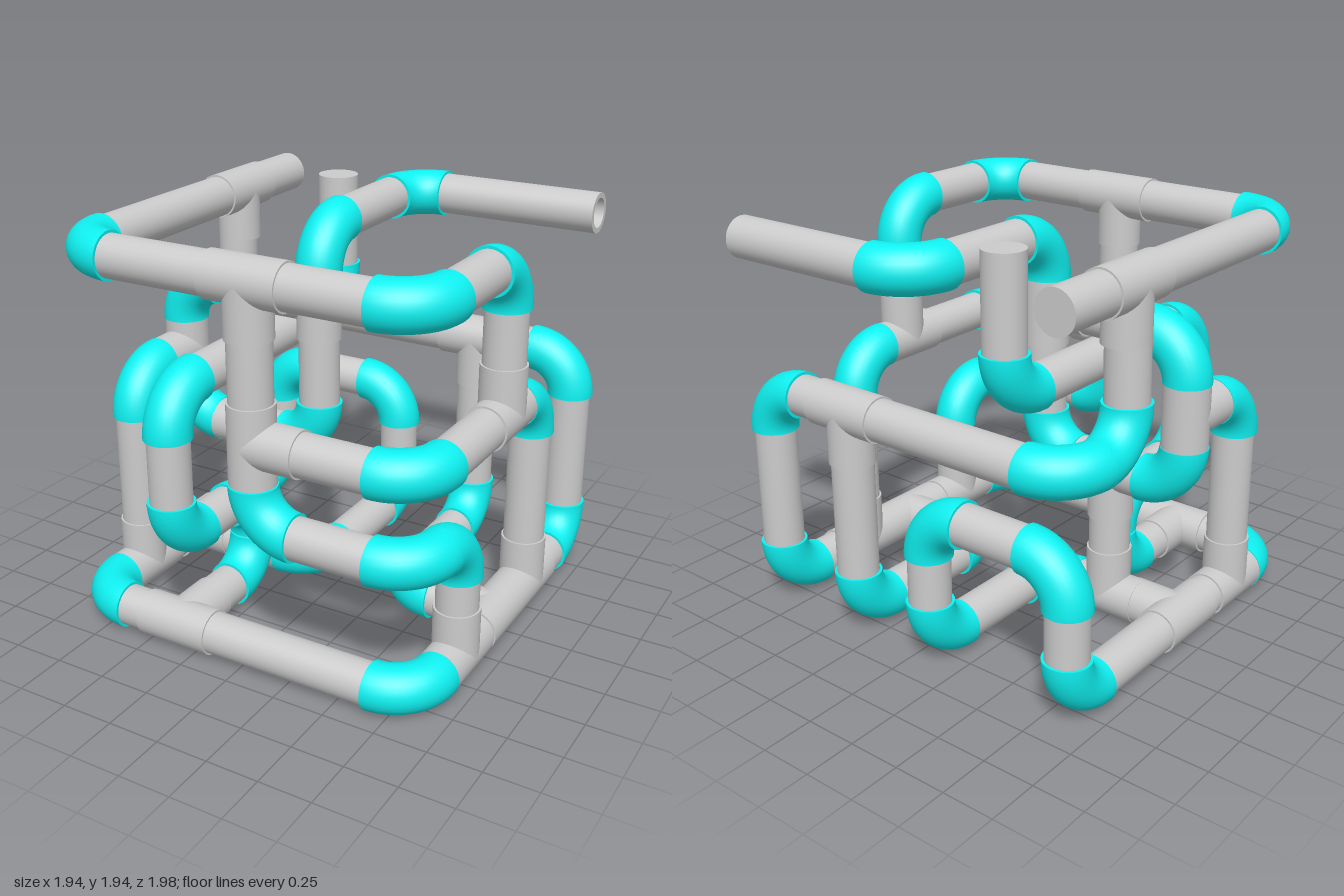
import * as THREE from 'three';
import { mergeGeometries, toCreasedNormals } from 'three/addons/utils/BufferGeometryUtils.js';

const PIPE_R = 0.098, TEE_R = 0.107, ELBOW_R = 0.111, BEND = 0.21;
const TEE_HALF = 0.185, TEE_BRANCH = 0.245, SIDES = 32;

const grey = new THREE.MeshStandardMaterial({ color: 0xcccccc });
const teal = new THREE.MeshStandardMaterial({ color: 0x10f0f0 });
const V = (p) => new THREE.Vector3(...p);
const UP = new THREE.Vector3(0, 1, 0);

// Closed cylinder between two points
function rod(a, b, radius) {
  const dir = b.clone().sub(a);
  const g = new THREE.CylinderGeometry(radius, radius, dir.length(), SIDES);
  g.applyQuaternion(new THREE.Quaternion().setFromUnitVectors(UP, dir.normalize()));
  const mid = a.clone().add(b).multiplyScalar(0.5);
  return g.translate(mid.x, mid.y, mid.z);
}

// Hollow pipe whose bore shows at its free end
function hollowRod(a, b) {
  const dir = b.clone().sub(a);
  const ring = new THREE.Shape().absarc(0, 0, PIPE_R, 0, Math.PI * 2, false);
  ring.holes.push(new THREE.Path().absarc(0, 0, 0.072, 0, Math.PI * 2, true));
  const g = toCreasedNormals(new THREE.ExtrudeGeometry(ring, {
    depth: dir.length(), bevelEnabled: false, curveSegments: 20,
  }), 0.8);
  g.applyQuaternion(new THREE.Quaternion().setFromUnitVectors(new THREE.Vector3(0, 0, 1), dir.normalize()));
  return g.translate(a.x, a.y, a.z);
}

// Quarter bend; toPrev and toNext point away from the corner
function elbow(corner, toPrev, toNext) {
  const g = mergeGeometries([
    new THREE.TorusGeometry(BEND, ELBOW_R, 28, 18, Math.PI / 2),
    new THREE.CircleGeometry(ELBOW_R, 28).rotateX(Math.PI / 2).translate(BEND, 0, 0),
    new THREE.CircleGeometry(ELBOW_R, 28).rotateY(-Math.PI / 2).translate(0, BEND, 0),
  ]);
  const x = toPrev.clone().negate(), y = toNext.clone().negate();
  const m = new THREE.Matrix4().makeBasis(x, y, x.clone().cross(y));
  m.setPosition(corner.clone().addScaledVector(toPrev, BEND).addScaledVector(toNext, BEND));
  return g.applyMatrix4(m);
}

// Pipe routes: every inner point is an elbow
const T = 1.84, B = -0.84, F = 0.84, R = 0.86, L = -0.86, G = 0.12, M = 1.13;
const routes = {
  topRail: [[-0.84, T, -0.92], [-0.84, T, F], [R, T, F], [R, T, 0.045], [R, M, 0.045]],
  outerLoop: [[-0.84, T, -0.43], [-0.85, M, -0.43], [-0.85, M, B], [R, M, B], [R, G, B], [R, G, F],
    [L, G, F], [L, G, B], [L, 0.77, B], [-0.1, 0.77, B], [-0.1, G, B], [-0.1, G, 0.03], [L, G, 0.03]],
  backDrop: [[0.35, M, B], [0.35, G, B], [0.35, G, 0.05], [R, G, 0.05]],
  frontDrop: [[0.07, T, F], [0.07, 0.73, F], [R, 0.73, F], [R, 0.73, 0.44], [R, G, 0.44]],
  middleRail: [[0.07, M, F], [R, M, F], [R, M, -0.315], [R, G, -0.315]],
  openRoute: [[0.92, T, -0.89], [-0.09, T, -0.89], [-0.09, T, 0.02], [-0.09, 0.78, 0.02],
    [L, 0.78, 0.02], [L, 1.5, 0.02], [-0.09, 1.5, 0.02]],
  sideDrop: [[L, M, 0.02], [L, M, 0.46], [L, G, 0.46]],
  innerRoute: [[-0.35, 1.94, -0.61], [-0.35, 1.28, -0.61], [-0.35, 1.28, 0.87], [-0.35, 0.55, 0.87],
    [-0.35, 0.55, 0.24], [-0.35, G, 0.24], [-0.35, G, F]],
  shortPost: [[-0.47, 0.78, 0.025], [-0.47, G, 0.025]],
};

// Tee fittings: centre, run axis, branch direction
const X = [1, 0, 0], Y = [0, 1, 0], Z = [0, 0, 1];
const NX = [-1, 0, 0], NY = [0, -1, 0], NZ = [0, 0, -1];
const tees = [
  [[-0.84, T, -0.44], Z, NY], [[0.07, T, F], X, NY], [[0.07, M, F], Y, X],
  [[R, M, 0.045], Z, Y], [[R, G, 0.44], Z, Y], [[R, G, -0.315], Z, Y], [[R, G, 0.05], Z, NX],
  [[0.35, M, B], X, NY], [[L, G, 0.03], Z, X], [[L, G, 0.46], Z, Y],
  [[-0.47, G, 0.025], X, Y], [[-0.47, 0.78, 0.025], X, NY],
  [[-0.09, 1.5, 0.02], Y, NX], [[L, M, 0.02], Y, Z], [[-0.35, G, F], X, NZ],
];

export function createModel() {
  const model = new THREE.Group();
  model.name = 'pipeMaze';
  const add = (parent, name, geometry, material) => {
    const mesh = new THREE.Mesh(geometry, material);
    mesh.name = name;
    parent.add(mesh);
  };

  // Straight pipes and elbows along each route
  for (const [name, list] of Object.entries(routes)) {
    const group = new THREE.Group();
    group.name = name;
    const pts = list.map(V), last = pts.length - 1;
    for (let i = 0; i < last; i++) {
      const dir = pts[i + 1].clone().sub(pts[i]).normalize();
      const a = pts[i].clone().addScaledVector(dir, i > 0 ? BEND : 0);
      const b = pts[i + 1].clone().addScaledVector(dir, i + 1 < last ? -BEND : 0);
      if (b.clone().sub(a).dot(dir) > 0.005) {
        const open = name === 'openRoute' && i === 0;
        add(group, open ? 'openPipe' : 'pipe', open ? hollowRod(a, b) : rod(a, b, PIPE_R), grey);
      }
      if (i > 0) add(group, 'elbow', elbow(pts[i], pts[i - 1].clone().sub(pts[i]).normalize(), dir), teal);
    }
    model.add(group);
  }

  // Tee fittings
  for (const [centre, axis, branch] of tees) {
    const c = V(centre);
    const at = (dir, d) => c.clone().addScaledVector(V(dir), d);
    add(model, 'tee', mergeGeometries([
      rod(at(axis, -TEE_HALF), at(axis, TEE_HALF), TEE_R),
      rod(c, at(branch, TEE_BRANCH), TEE_R),
    ]), grey);
  }
  return model;
}
